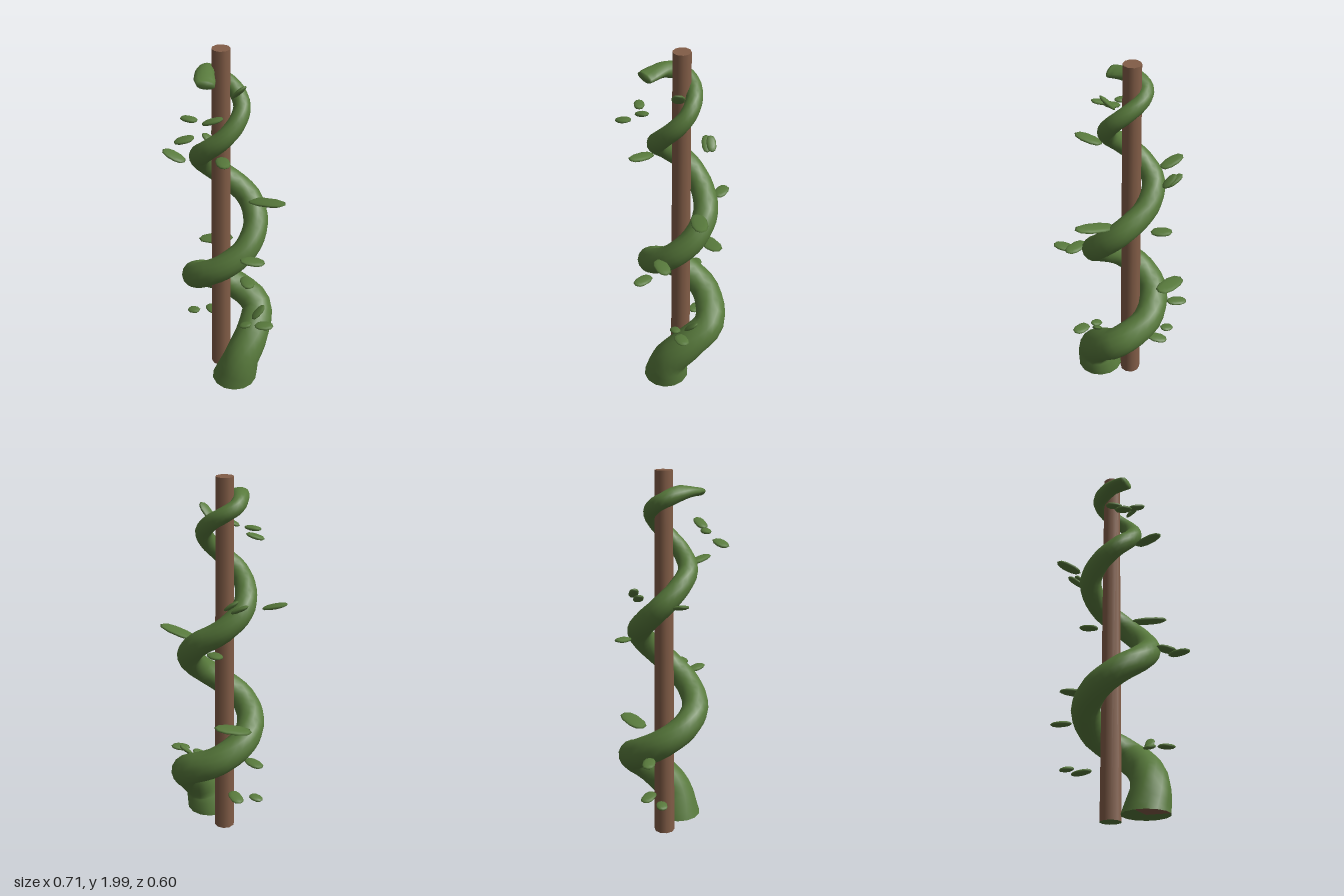
import * as THREE from 'three';

const green = new THREE.MeshStandardMaterial({ color: 0x587a3c });
green.name = 'leaf green';
const brown = new THREE.MeshStandardMaterial({ color: 0x825d47 });
brown.name = 'wood brown';

const UP = new THREE.Vector3(0, 1, 0);

// Vine centre line and radius: x, y, z, r
const VINE = [
  [0.122, 0.035, 0.028, 0.126], [0.149, 0.17, 0.0, 0.102], [0.136, 0.29, -0.1, 0.095],
  [0.06, 0.4, -0.21, 0.085], [-0.11, 0.495, -0.165, 0.08], [-0.178, 0.585, -0.03, 0.077],
  [-0.135, 0.665, 0.085, 0.074], [-0.03, 0.745, 0.135, 0.071], [0.09, 0.835, 0.085, 0.069],
  [0.15, 0.93, -0.02, 0.067], [0.12, 1.035, -0.125, 0.066], [0.02, 1.14, -0.17, 0.065],
  [-0.11, 1.235, -0.12, 0.062], [-0.163, 1.33, -0.03, 0.06], [-0.12, 1.415, 0.05, 0.056],
  [-0.03, 1.495, 0.092, 0.052], [0.05, 1.575, 0.05, 0.048], [0.075, 1.65, -0.02, 0.046],
  [0.055, 1.715, -0.075, 0.043], [-0.01, 1.775, -0.097, 0.042], [-0.085, 1.825, -0.075, 0.04],
  [-0.115, 1.86, -0.02, 0.04], [-0.07, 1.89, 0.055, 0.048], [-0.01, 1.89, 0.112, 0.052],
  [0.025, 1.885, 0.14, 0.045],
];

function vineGeometry(sides = 14, perSpan = 4) {
  const curve = new THREE.CatmullRomCurve3(VINE.map(p => new THREE.Vector3(p[0], p[1], p[2])));
  const spans = VINE.length - 1, steps = spans * perSpan;
  const pos = [], index = [];
  let rows = 0;
  const addRing = (t, scale) => {
    const c = curve.getPoint(t), T = curve.getTangent(t);
    // The foot is cut level
    T.lerp(UP, Math.max(0, 1 - t * spans)).normalize();
    const k = Math.min(Math.floor(t * spans), spans - 1);
    const r = THREE.MathUtils.lerp(VINE[k][3], VINE[k + 1][3], t * spans - k) * scale;
    // The tip flattens into a blade
    const flat = 1 - 0.55 * THREE.MathUtils.smoothstep(t, 0.88, 0.97);
    const side = new THREE.Vector3(c.x + 0.03, 0, c.z + 0.03);
    side.addScaledVector(T, -side.dot(T)).normalize();
    const other = T.clone().cross(side);
    for (let j = 0; j < sides; j++) {
      const a = (j / sides) * Math.PI * 2;
      const p = c.clone().addScaledVector(side, Math.cos(a) * r).addScaledVector(other, Math.sin(a) * r * flat);
      pos.push(p.x, p.y, p.z);
    }
    rows++;
  };
  addRing(0, 0);
  addRing(0, 1);
  for (let i = 0; i <= steps; i++) addRing(i / steps, 1);
  addRing(1, 0);
  for (let i = 0; i < rows - 1; i++) {
    for (let j = 0; j < sides; j++) {
      const a = i * sides + j, b = i * sides + (j + 1) % sides;
      index.push(a, b, a + sides, b, b + sides, a + sides);
    }
  }
  const geo = new THREE.BufferGeometry();
  geo.setAttribute('position', new THREE.Float32BufferAttribute(pos, 3));
  geo.setIndex(index);
  geo.computeVertexNormals();
  // Woody patch on the front of the foot's underside
  const from = (sides - 4) * 6, to = sides * 6;
  geo.addGroup(0, from, 0);
  geo.addGroup(from, to - from, 1);
  geo.addGroup(to, index.length - to, 0);
  return geo;
}

// Flat pebble with a blunt outline
function leafGeometry() {
  const geo = new THREE.SphereGeometry(1, 10, 6);
  const p = geo.attributes.position;
  const blunt = v => Math.sign(v) * Math.abs(v) ** 0.85;
  for (let i = 0; i < p.count; i++) p.setXYZ(i, blunt(p.getX(i)), p.getY(i), blunt(p.getZ(i)));
  return geo;
}

// Leaves: centre, half-length vector, half width
const LEAVES = [
  [[-0.268, 0.267, -0.02], [-0.036, -0.006, 0.01], 0.028],
  [[-0.192, 0.275, -0.1], [-0.05, -0.008, -0.02], 0.033],
  [[-0.302, 0.525, -0.083], [-0.055, -0.005, 0], 0.032],
  [[-0.232, 0.735, -0.172], [-0.075, -0.01, 0.06], 0.045],
  [[-0.16, 1.15, -0.23], [-0.05, 0.005, -0.02], 0.033],
  [[-0.287, 1.36, 0.08], [-0.062, 0.02, 0.02], 0.035],
  [[-0.24, 1.39, -0.137], [-0.045, 0.025, 0.01], 0.025],
  [[-0.21, 1.41, -0.165], [-0.035, 0.028, 0.01], 0.024],
  [[0.168, 1.17, -0.155], [0.105, 0.022, -0.025], 0.04],
  [[0.243, 0.92, 0.025], [0.055, -0.002, -0.035], 0.036],
  [[0.295, 0.862, 0.117], [0.05, 0.005, 0.03], 0.032],
  [[0.245, 0.418, -0.08], [0.042, 0.004, -0.03], 0.033],
  [[0.15, 0.397, -0.03], [0.028, 0.01, -0.02], 0.025],
  [[0.162, 0.445, -0.12], [0.012, 0.035, -0.035], 0.024],
  [[0.14, 1.518, 0.14], [0.06, 0.013, 0.045], 0.033],
  [[0.075, 1.72, 0.145], [0.045, 0.02, -0.025], 0.029],
  [[-0.05, 1.7, 0.182], [0.045, 0.002, -0.01], 0.025],
  [[-0.006, 1.632, 0.256], [0.038, 0.014, -0.03], 0.034],
  [[0.073, 1.81, -0.032], [0.035, 0.038, -0.005], 0.031],
];

export function createModel() {
  const group = new THREE.Group();
  group.name = 'climbingVine';

  // Slightly tapered pole with a green underside
  const pole = new THREE.Mesh(new THREE.CylinderGeometry(0.046, 0.056, 1.99, 10), [brown, brown, green]);
  pole.name = 'pole';
  pole.position.set(-0.047, 1.005, -0.031);
  group.add(pole);

  const vine = new THREE.Mesh(vineGeometry(), [green, brown]);
  vine.name = 'vine';
  group.add(vine);

  // Thin leaves around the vine
  const leafGeo = leafGeometry();
  const leaves = new THREE.Group();
  leaves.name = 'leaves';
  LEAVES.forEach(([c, d, width]) => {
    const X = new THREE.Vector3(...d), length = X.length();
    X.normalize();
    const Z = X.clone().cross(UP).normalize();
    const Y = Z.clone().cross(X);
    const leaf = new THREE.Mesh(leafGeo, green);
    leaf.name = 'leaf';
    leaf.quaternion.setFromRotationMatrix(new THREE.Matrix4().makeBasis(X, Y, Z));
    leaf.scale.set(length * 1.03, 0.012, width * 1.08);
    leaf.position.set(...c);
    leaves.add(leaf);
  });
  group.add(leaves);
  return group;
}
